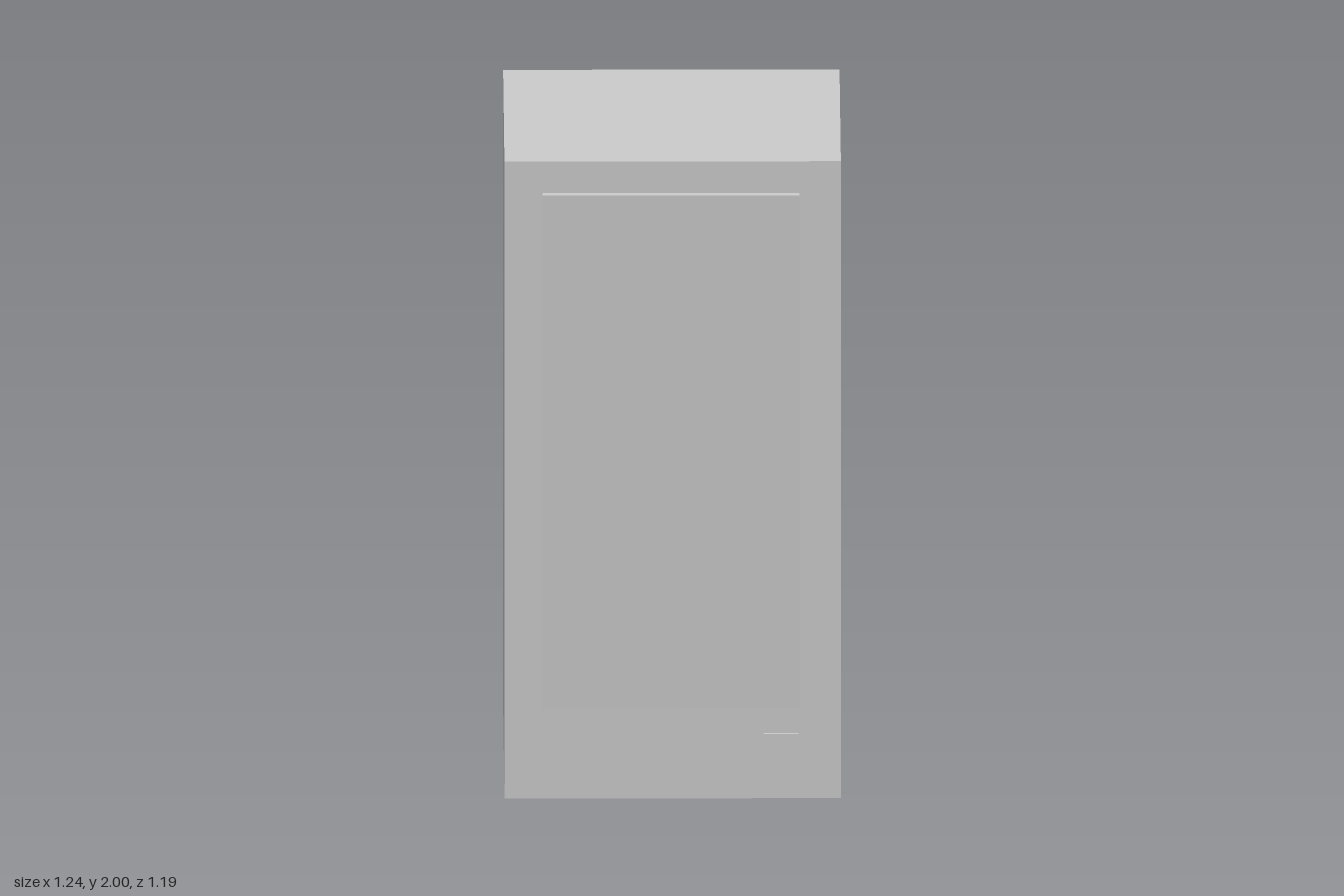
import * as THREE from 'three';

const WIDTH = 1.01, HEIGHT = 2, DEPTH = 0.94;
const TURN = THREE.MathUtils.degToRad(-17);
const FRONT = DEPTH / 2;

export function createModel() {
  const grey = new THREE.MeshStandardMaterial({ color: 0xcccccc });
  grey.name = 'plain grey';

  const model = new THREE.Group();
  model.name = 'cabinet';
  model.rotation.y = TURN;

  const addBox = (name, size, position) => {
    const mesh = new THREE.Mesh(new THREE.BoxGeometry(...size), grey);
    mesh.name = name;
    mesh.position.set(...position);
    model.add(mesh);
    return mesh;
  };

  // Main body standing on the ground
  addBox('body', [WIDTH, HEIGHT, DEPTH], [0, HEIGHT / 2, 0]);

  // Tall front panel, leaning out slightly at the top and sunk in at the bottom
  const panel = addBox('frontPanel', [0.772, 1.62, 0.024], [-0.005, 1.095, FRONT + 0.01]);
  panel.rotation.x = 0.019;

  // Small square button below the panel
  addBox('button', [0.105, 0.095, 0.016], [0.325, 0.157, FRONT]);

  const root = new THREE.Group();
  root.add(model);
  return root;
}
